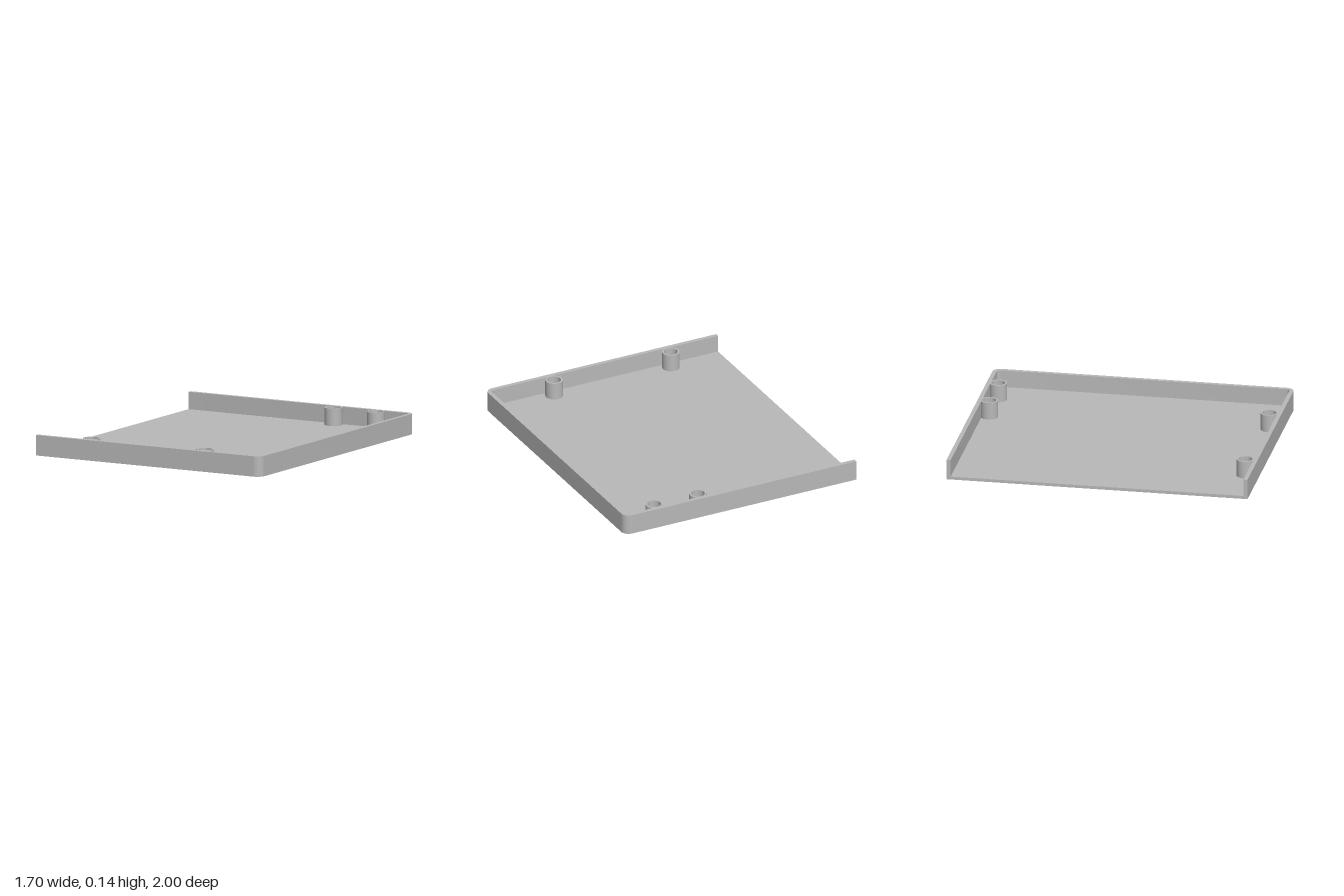
import * as THREE from 'three';
import { toCreasedNormals } from 'three/addons/utils/BufferGeometryUtils.js';

const X = 0.85, Z = 1, HEIGHT = 0.135, FLOOR = 0.02;
const WALL = 0.028, CORNER = 0.055;

// Extrude a plan-view shape (shape y = -z) upward from y0 to y1
function extrudeUp(shape, y0, y1) {
  const geo = new THREE.ExtrudeGeometry(shape, { depth: y1 - y0, bevelEnabled: false, curveSegments: 16 });
  geo.rotateX(-Math.PI / 2);
  geo.translate(0, y0, 0);
  return toCreasedNormals(geo, Math.PI / 6);
}

// Plate outline: square corners on the open -x edge, round corners on +x
function floorShape() {
  const s = new THREE.Shape();
  s.moveTo(-X, -Z);
  s.lineTo(X - CORNER, -Z);
  s.absarc(X - CORNER, -Z + CORNER, CORNER, -Math.PI / 2, 0, false);
  s.absarc(X - CORNER, Z - CORNER, CORNER, 0, Math.PI / 2, false);
  s.lineTo(-X, Z);
  s.closePath();
  return s;
}

// U-shaped rim: the outer outline, returning along the inner face
function rimShape() {
  const s = new THREE.Shape();
  const r = CORNER - WALL;
  s.moveTo(-X, -Z);
  s.lineTo(X - CORNER, -Z);
  s.absarc(X - CORNER, -Z + CORNER, CORNER, -Math.PI / 2, 0, false);
  s.absarc(X - CORNER, Z - CORNER, CORNER, 0, Math.PI / 2, false);
  s.lineTo(-X, Z);
  s.lineTo(-X, Z - WALL);
  s.lineTo(X - CORNER, Z - WALL);
  s.absarc(X - CORNER, Z - CORNER, r, Math.PI / 2, 0, true);
  s.absarc(X - CORNER, -Z + CORNER, r, 0, -Math.PI / 2, true);
  s.lineTo(-X, -Z + WALL);
  s.closePath();
  return s;
}

// Hollow round post
function postShape() {
  const s = new THREE.Shape();
  s.absarc(0, 0, 0.058, 0, Math.PI * 2, false);
  const hole = new THREE.Path();
  hole.absarc(0, 0, 0.045, 0, Math.PI * 2, true);
  s.holes.push(hole);
  return s;
}

export function createModel() {
  const grey = new THREE.MeshStandardMaterial({ color: 0xb8b8b8 });
  grey.name = 'grey plastic';

  const group = new THREE.Group();
  group.name = 'tray';
  const add = (name, geo, x = 0, z = 0) => {
    const mesh = new THREE.Mesh(geo, grey);
    mesh.name = name;
    mesh.position.set(x, 0, z);
    group.add(mesh);
  };

  add('floor', extrudeUp(floorShape(), 0, FLOOR));
  add('rim', extrudeUp(rimShape(), FLOOR, HEIGHT));

  // Screw posts against the front and back walls
  const post = extrudeUp(postShape(), FLOOR, HEIGHT + 0.0005);
  const spots = [[0.275, -0.924], [0.597, -0.924], [-0.475, 0.917], [0.383, 0.917]];
  spots.forEach(([x, z], i) => add(`screwPost${i + 1}`, post, x, z));

  return group;
}
